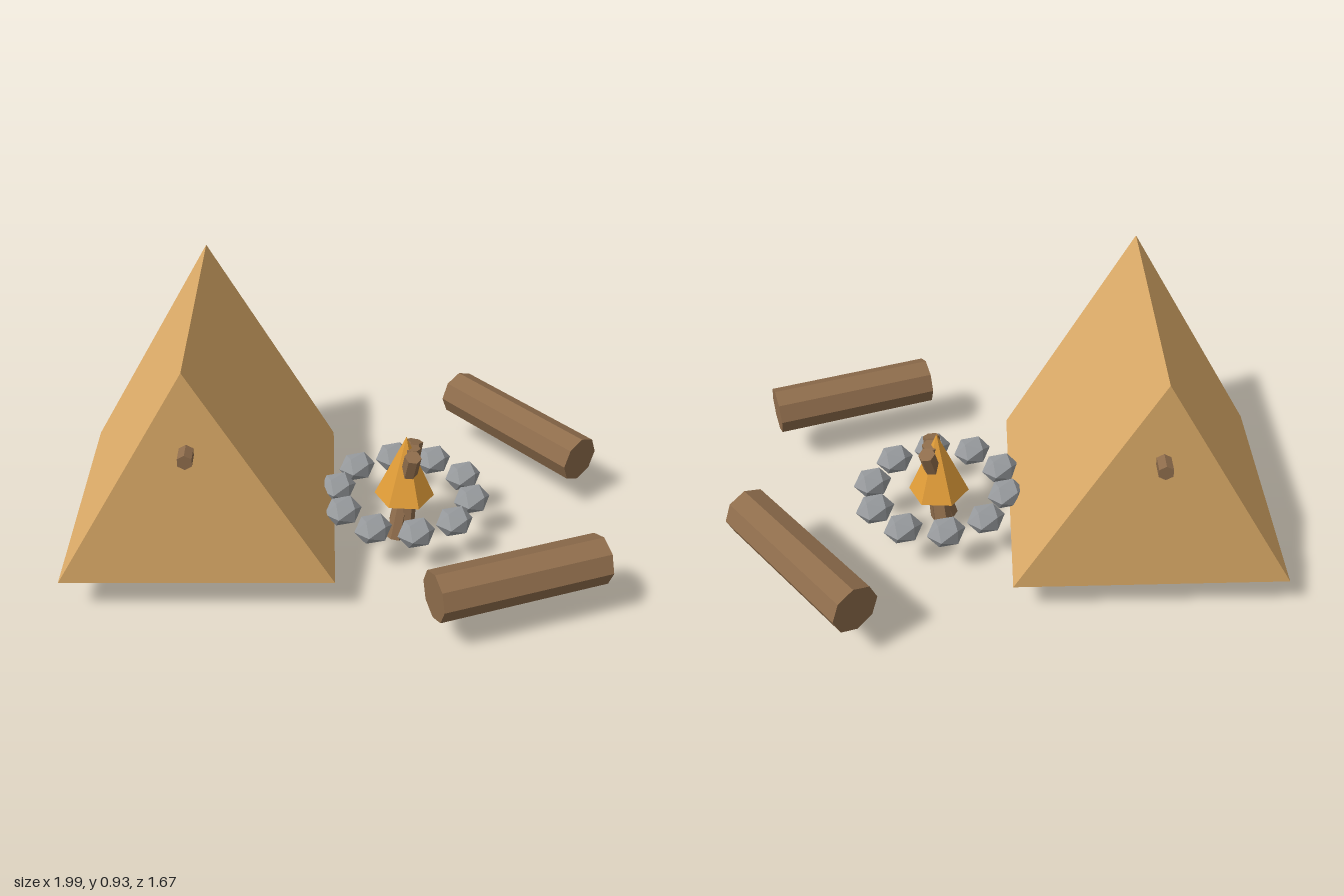
import * as THREE from 'three';

const mat = (color) => {
  const m = new THREE.MeshStandardMaterial({ color });
  m.flatShading = true;
  return m;
};

const canvas = mat(0xe0ae6a);
const wood = mat(0x8f6d4c);
const flame = mat(0xe09c38);
const rock = mat(0x999c9f);

const GROUND = 0.13;
const FIRE = { x: 0.255, z: 0.09 };

// Straight round bar between two points
function bar(name, from, to, radius, sides) {
  const a = new THREE.Vector3(...from);
  const b = new THREE.Vector3(...to);
  const dir = b.clone().sub(a);
  const mesh = new THREE.Mesh(new THREE.CylinderGeometry(radius, radius, dir.length(), sides), wood);
  mesh.name = name;
  mesh.position.copy(a).add(b).multiplyScalar(0.5);
  mesh.quaternion.setFromUnitVectors(new THREE.Vector3(0, 1, 0), dir.normalize());
  return mesh;
}

// Log lying on the ground with a ridge of its octagon on top
function log(name, x, z, length, yaw) {
  const radius = 0.086;
  const geometry = new THREE.CylinderGeometry(radius, radius, length, 8).rotateX(Math.PI / 2);
  const mesh = new THREE.Mesh(geometry, wood);
  mesh.name = name;
  mesh.position.set(x, GROUND + radius, z);
  mesh.rotation.y = yaw;
  return mesh;
}

// Closed tent prism with a pole running through both gables
function createTent() {
  const tent = new THREE.Group();
  tent.name = 'tent';
  const width = 0.92, height = 0.805, depth = 0.917;
  const gable = new THREE.Shape([
    new THREE.Vector2(-width / 2, 0),
    new THREE.Vector2(width / 2, 0),
    new THREE.Vector2(0, height),
  ]);
  const geometry = new THREE.ExtrudeGeometry(gable, { depth, bevelEnabled: false });
  geometry.translate(0, 0, -depth / 2);
  const cover = new THREE.Mesh(geometry, canvas);
  cover.name = 'tentCover';
  tent.add(cover, bar('tentPole', [0, 0.525, -0.52], [0, 0.525, 0.52], 0.026, 6));
  tent.position.set(-0.383, GROUND, -0.227);
  tent.rotation.y = -0.45;
  return tent;
}

function createCampfire() {
  const fire = new THREE.Group();
  fire.name = 'campfire';

  // Flame
  const flameBase = 0.17, flameTop = 0.415;
  const cone = new THREE.Mesh(new THREE.ConeGeometry(0.107, flameTop - flameBase, 6), flame);
  cone.name = 'flame';
  cone.position.set(FIRE.x, (flameBase + flameTop) / 2, FIRE.z);
  fire.add(cone);

  // Crossed firewood
  [
    [[0.202, 0.012, 0.125], [0.308, 0.365, 0.06]],
    [[0.262, 0.012, 0.035], [0.25, 0.365, 0.15]],
    [[0.245, 0.01, 0.125], [0.275, 0.368, 0.1]],
  ].forEach(([from, to], i) => fire.add(bar('firewood' + (i + 1), from, to, 0.03, 6)));

  // Ring of flattened stones
  const stone = new THREE.IcosahedronGeometry(1, 0).rotateY(0.4).scale(0.07, 0.055, 0.058);
  const count = 10;
  for (let i = 0; i < count; i++) {
    const angle = (i / count) * Math.PI * 2;
    const mesh = new THREE.Mesh(stone, rock);
    mesh.name = 'ringStone' + (i + 1);
    mesh.position.set(FIRE.x + 0.246 * Math.cos(angle), 0.173, FIRE.z + 0.236 * Math.sin(angle));
    fire.add(mesh);
  }
  return fire;
}

export function createModel() {
  const model = new THREE.Group();
  model.name = 'campsite';
  model.add(
    createTent(),
    createCampfire(),
    log('frontLog', 0.335, 0.71, 0.597, Math.atan2(0.59, 0.073)),
    log('sideLog', 0.833, -0.068, 0.633, Math.atan2(0.155, 0.613)),
  );
  return model;
}
